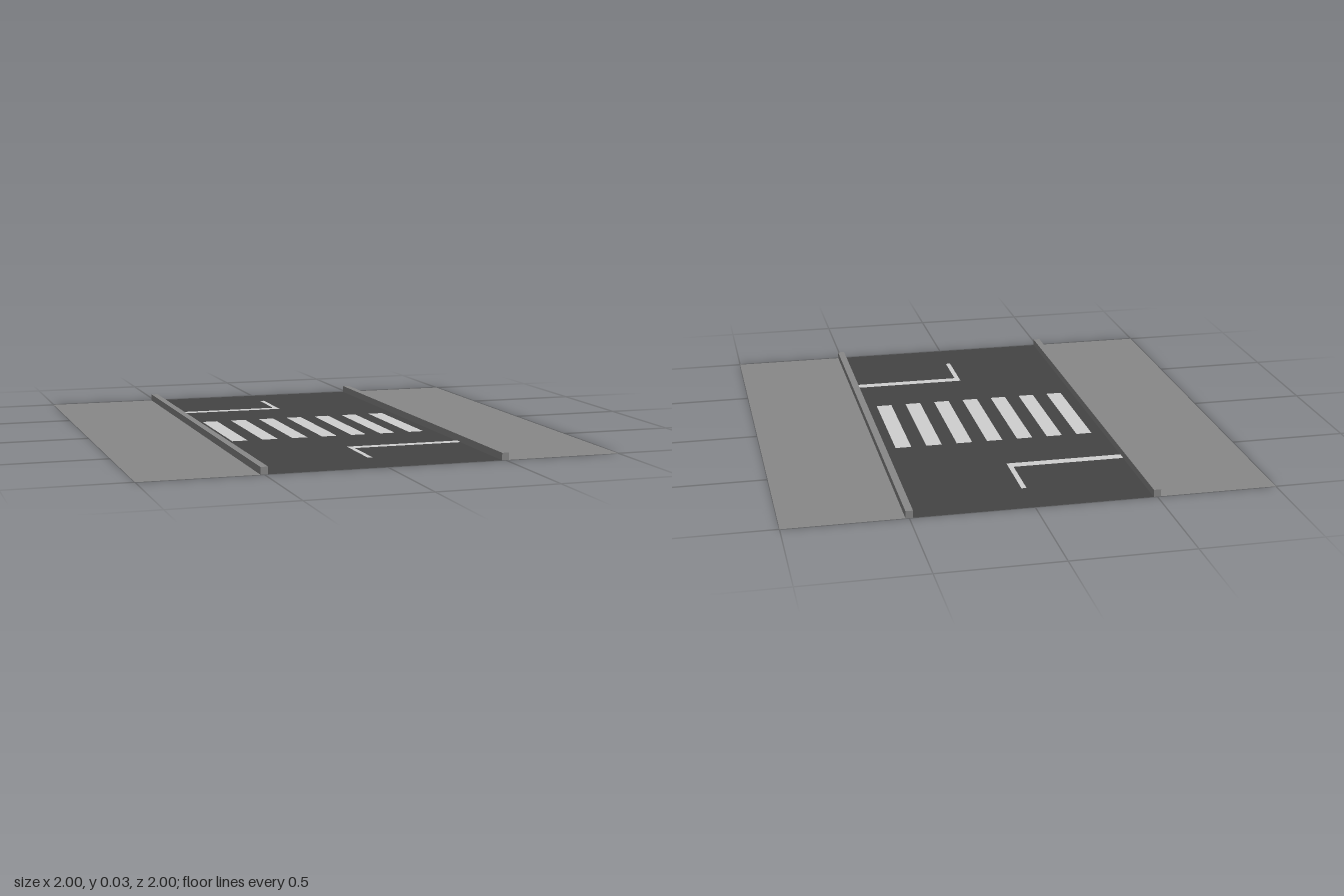
import * as THREE from 'three';

const mat = (name, color) => {
  const m = new THREE.MeshStandardMaterial({ color, side: THREE.DoubleSide });
  m.name = name;
  return m;
};

export function createModel() {
  const model = new THREE.Group();
  model.name = 'roadSection';
  const asphalt = mat('asphalt', 0x444444);
  const concrete = mat('concrete', 0x888888);
  const paint = mat('roadPaint', 0xd0d0d0);

  // Flat rectangle facing up, given by its edges
  const sheet = (name, material, x0, x1, z0, z1, y = 0) => {
    const geo = new THREE.PlaneGeometry(x1 - x0, z1 - z0).rotateX(-Math.PI / 2);
    const mesh = new THREE.Mesh(geo, material);
    mesh.name = name;
    mesh.position.set((x0 + x1) / 2, y, (z0 + z1) / 2);
    model.add(mesh);
  };

  const inner = 0.485, outer = 0.515, paintY = 0.002;

  // Road surface
  sheet('road', asphalt, -inner, inner, -1, 1);

  // Pavements and raised kerbs
  sheet('rightPavement', concrete, -1, -outer, -1, 1);
  sheet('leftPavement', concrete, outer, 1, -1, 1);
  for (const s of [-1, 1]) {
    const kerb = new THREE.Mesh(new THREE.BoxGeometry(outer - inner, 0.03, 2), concrete);
    kerb.name = s < 0 ? 'rightKerb' : 'leftKerb';
    kerb.position.set(s * (inner + outer) / 2, 0.015, 0);
    model.add(kerb);
  }

  // Crossing stripes
  for (let i = -3; i <= 3; i++) {
    const x = i * 0.1333;
    sheet('crossingStripe', paint, x - 0.034, x + 0.034, -0.268, 0.266, paintY);
  }

  // Stop lines, each with a short centre line leading away from the crossing
  sheet('backStopLine', paint, -inner, 0.01, -0.58, -0.538, paintY);
  sheet('backCentreLine', paint, -0.011, 0.01, -0.81, -0.58, paintY);
  sheet('frontStopLine', paint, -0.011, inner, 0.533, 0.575, paintY);
  sheet('frontCentreLine', paint, -0.011, 0.01, 0.575, 0.795, paintY);

  return model;
}
